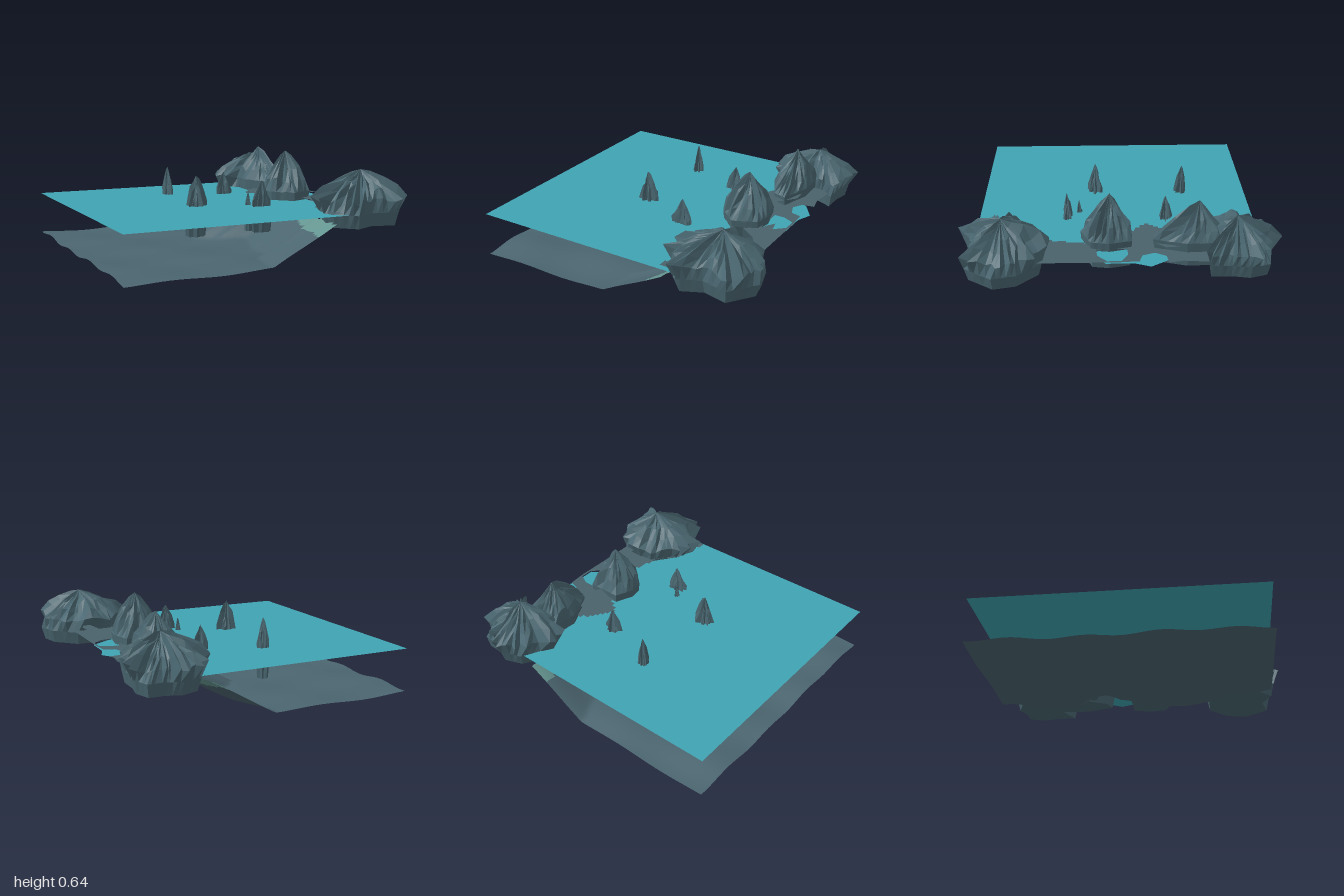
import * as THREE from 'three';

const mat = (name, color, flatShading = false) =>
  Object.assign(new THREE.MeshStandardMaterial({ color, side: THREE.DoubleSide, flatShading }), { name });

// repeatable random numbers
function seeded(seed) {
  let s = seed * 7919 + 17;
  return () => (s = (s * 16807) % 2147483647) / 2147483647;
}

// shoreline x for each z, eased between a few stations
const SHORE = [[-0.92, 0.42], [-0.7, 0.5], [-0.42, 0.56], [-0.3, 0.42], [-0.18, 0.35], [-0.08, 0.44],
  [0.08, 0.63], [0.3, 0.58], [0.5, 0.55], [0.65, 0.43], [0.92, 0.39]];
function shoreAt(z) {
  for (let i = 1; i < SHORE.length; i++) {
    const [z0, x0] = SHORE[i - 1], [z1, x1] = SHORE[i];
    if (z <= z1) return x0 + (x1 - x0) * THREE.MathUtils.smoothstep(z, z0, z1);
  }
  return SHORE[SHORE.length - 1][1];
}

function bedHeight(x, z) {
  const ripple = 0.018 + 0.009 * Math.sin(z * 14 + x * 2) + 0.006 * Math.sin(x * 9 - z * 5);
  return ripple + Math.max(0, x - shoreAt(z) + 0.43) * 0.53;
}

// seabed grid: a flat floor and a slope, cut off in steps at its crest
function seabed(lower, upper) {
  const nx = 96, nz = 92, pos = [], low = [], high = [];
  const X = i => -1 + 1.75 * i / nx, Z = j => -0.92 + 1.84 * j / nz;
  for (let j = 0; j <= nz; j++)
    for (let i = 0; i <= nx; i++) pos.push(X(i), bedHeight(X(i), Z(j)), Z(j));
  for (let j = 0; j < nz; j++)
    for (let i = 0; i < nx; i++) {
      const a = j * (nx + 1) + i, c = a + nx + 1;
      const y = bedHeight(X(i + 0.5), Z(j + 0.5));
      if (y < 0.255) (y > 0.185 ? high : low).push(a, c, a + 1, a + 1, c, c + 1);
    }
  const g = new THREE.BufferGeometry();
  g.setAttribute('position', new THREE.Float32BufferAttribute(pos, 3));
  g.setIndex([...low, ...high]);
  g.addGroup(0, low.length, 0);
  g.addGroup(low.length, high.length, 1);
  g.computeVertexNormals();
  return new THREE.Mesh(g, [lower, upper]);
}

// flat sheet from [x, z] outline points
function sheet(points, y, material, holes = []) {
  const path = p => p.map(([x, z]) => new THREE.Vector2(x, -z));
  const s = new THREE.Shape(path(points));
  for (const h of holes) s.holes.push(new THREE.Path(path(h)));
  const m = new THREE.Mesh(new THREE.ShapeGeometry(s).rotateX(-Math.PI / 2), material);
  m.position.y = y;
  return m;
}

// ridged rock: an [x, z] rim outline, repeated in rings of [scale, height] towards the peak
function rock({ outline, peak, y0, y1, rings, split, rough, seed }, material) {
  const rnd = seeded(seed), pos = [], idx = [], spokes = [];
  outline.forEach(([x, z], i) => {
    const [nx, nz] = outline[(i + 1) % outline.length];
    for (let k = 0; k < split; k++) {
      const t = k / split;
      spokes.push({ dx: x + (nx - x) * t - peak[0], dz: z + (nz - z) * t - peak[1], fold: rnd() - 0.5 });
    }
  });
  const n = spokes.length;
  rings.forEach(([r, h], level) => {
    for (const s of spokes) {
      const loose = level > 1 ? rough : level * rough * 0.08;
      const k = r * (1 + loose * (s.fold + (rnd() - 0.5) * 0.5));
      const lift = loose * (s.fold * 0.25 + (rnd() - 0.5) * 0.25);
      pos.push(peak[0] + s.dx * k, y0 + (y1 - y0) * Math.min(h + lift, 0.98), peak[1] + s.dz * k);
    }
  });
  const top = pos.length / 3;
  pos.push(peak[0], y1, peak[1], peak[0], y0, peak[1]);
  for (let k = 0; k < n; k++) {
    const k1 = (k + 1) % n, last = (rings.length - 1) * n;
    for (let l = 0; l < rings.length - 1; l++) {
      const a = l * n + k, b = l * n + k1;
      idx.push(a, a + n, b, b, a + n, b + n);
    }
    idx.push(last + k, top, last + k1, k, k1, top + 1);
  }
  const g = new THREE.BufferGeometry();
  g.setAttribute('position', new THREE.Float32BufferAttribute(pos, 3));
  g.setIndex(idx);
  const flat = g.toNonIndexed();
  flat.computeVertexNormals();
  return new THREE.Mesh(flat, material);
}

// uneven star outline for the slender stacks
function star(x, z, rx, rz, seed) {
  const rnd = seeded(seed);
  return Array.from({ length: 14 }, (_, i) => {
    const a = i / 14 * Math.PI * 2, r = (i % 2 ? 0.72 : 1) - rnd() * 0.15;
    return [x + r * rx * Math.cos(a), z + r * rz * Math.sin(a)];
  });
}

export function createModel() {
  const model = new THREE.Group();
  model.name = 'rockyCove';
  const add = (name, mesh) => { mesh.name = name; model.add(mesh); };

  const stone = mat('slate stone', 0x4a6771, true);
  const bed = mat('seabed grey', 0x4b656f);
  const crest = mat('slope crest green', 0x659590);
  const ground = mat('shore grey', 0x4a626c);
  const water = mat('teal water', 0x40a4b3);

  add('seabed', seabed(bed, crest));

  // water surface, with an inlet reaching through the shore
  add('water', sheet([[-1, -0.92], [0.6, -0.92], [0.6, -0.4], [0.78, -0.32], [0.86, -0.2], [0.82, -0.1],
    [0.82, 0.08], [0.7, 0.16], [0.62, 0.2], [0.6, 0.5], [0.5, 0.65], [0.5, 0.92], [-1, 0.92]], 0.307, water));

  // shore ledge with a stepped waterline and a pool
  const edge = [];
  for (let z = 0.9; z > -0.6; z -= 0.03) {
    const x = Math.round((shoreAt(z) - 0.005) / 0.02) * 0.02;
    edge.push([x, z], [x, z - 0.03]);
  }
  add('shoreLedge', sheet([...edge, [0.84, -0.6], [0.82, -0.4], [0.84, -0.31], [0.76, -0.3], [0.72, -0.23],
    [0.75, -0.15], [0.82, -0.13], [0.83, 0], [0.83, 0.9]], 0.322, ground,
  [[[0.67, -0.06], [0.74, -0.06], [0.815, -0.02], [0.815, 0.07], [0.75, 0.13], [0.67, 0.14]]]));

  // low raised steps on the ledge
  add('upperLedgeFront', sheet([[0.72, 0.47], [0.7, 0.3], [0.72, 0.18], [0.76, 0.12], [0.79, 0.25], [0.79, 0.4], [0.76, 0.47]], 0.36, ground));
  add('upperLedgeBack', sheet([[0.46, -0.12], [0.47, -0.24], [0.52, -0.33], [0.7, -0.5], [0.72, -0.3], [0.62, -0.18], [0.56, -0.09]], 0.36, ground));

  // large shore rocks
  const broad = [[0.89, 0], [0.98, 0.25], [1, 0.48], [0.76, 0.66], [0.5, 0.8], [0.22, 0.9]];
  const tall = [[0.9, 0], [1, 0.4], [0.8, 0.56], [0.52, 0.72], [0.22, 0.86]];
  const shared = { split: 5, rough: 0.36 };
  [
    { name: 'frontRock', peak: [0.71, 0.72], y0: 0.22, y1: 0.57, rings: broad, seed: 3,
      outline: [[0.99, 0.77], [0.86, 0.95], [0.68, 0.91], [0.53, 0.98], [0.41, 0.86], [0.39, 0.775],
        [0.44, 0.64], [0.56, 0.465], [0.805, 0.465], [0.955, 0.615]] },
    { name: 'backRock', peak: [0.68, -0.74], y0: 0.22, y1: 0.56, rings: broad, seed: 8,
      outline: [[0.89, -0.82], [0.865, -0.695], [0.865, -0.55], [0.71, -0.62], [0.48, -0.58], [0.39, -0.74],
        [0.5, -0.94], [0.635, -0.99], [0.73, -0.95], [0.85, -0.945]] },
    { name: 'backPeakRock', peak: [0.61, -0.51], y0: 0.22, y1: 0.63, rings: tall, seed: 5,
      outline: [[0.725, -0.43], [0.66, -0.22], [0.565, -0.25], [0.47, -0.455], [0.485, -0.625], [0.6, -0.66], [0.715, -0.64]] },
    { name: 'middleRock', peak: [0.53, 0.05], y0: 0.18, y1: 0.645, rings: tall, seed: 11,
      outline: [[0.68, 0.055], [0.66, 0.175], [0.5, 0.24], [0.38, 0.125], [0.365, 0.04], [0.415, -0.09], [0.645, -0.09]] },
  ].forEach(r => add(r.name, rock({ ...shared, ...r }, stone)));

  // slender sea stacks standing in the water
  const stack = [[0.88, 0], [1, 0.3], [0.86, 0.52], [0.55, 0.7], [0.24, 0.84]];
  [
    [-0.165, -0.47, 0.045, 0.055, 0.1, 0.51],
    [0.225, -0.33, 0.07, 0.055, 0.13, 0.47],
    [-0.21, 0.14, 0.085, 0.07, 0.1, 0.51],
    [0.19, 0.33, 0.085, 0.042, 0.13, 0.48],
    [0.13, 0.25, 0.032, 0.032, 0.13, 0.4],
  ].forEach(([x, z, rx, rz, y0, y1], i) => add('seaStack' + (i + 1), rock({
    outline: star(x, z, rx, rz, 20 + i), peak: [x, z], y0, y1, rings: stack, split: 2, rough: 0.55, seed: 30 + i
  }, stone)));

  return model;
}
